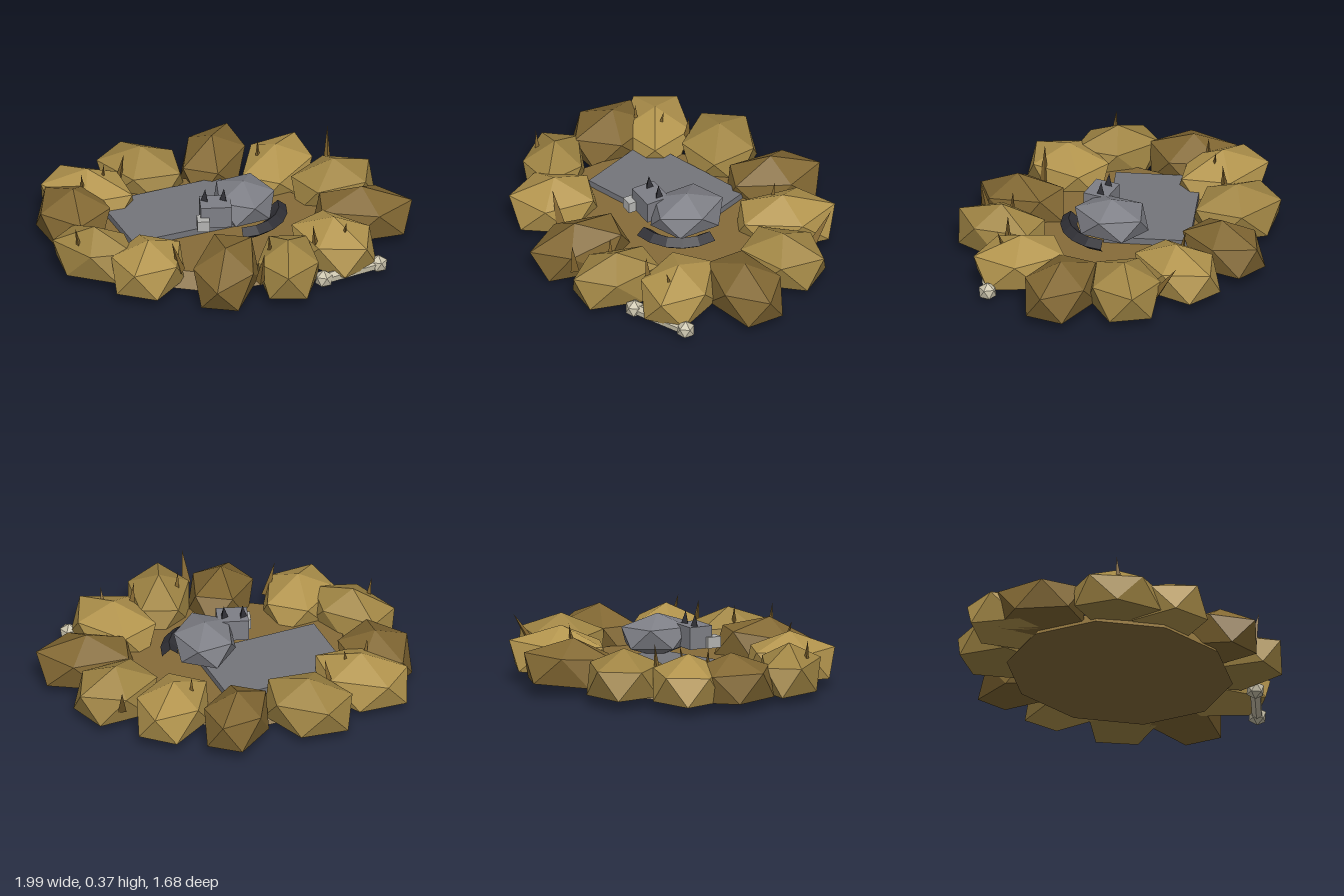
import * as THREE from 'three';

const mat = (color) => new THREE.MeshStandardMaterial({ color, flatShading: true });

const earth = mat(0x866c39);
const rockMats = [mat(0x826833), mat(0xb2944d), mat(0xa08544)];
const slateGrey = mat(0x74757b);
const fur = mat(0x7e7f86);
const darkFur = mat(0x303036);
const paleFur = mat(0xb4b4b2);
const grass = mat(0x846730);
const ivory = mat(0xc9c2ab);

function add(parent, name, geometry, material, x = 0, y = 0, z = 0) {
  const mesh = new THREE.Mesh(geometry, material);
  mesh.name = name;
  mesh.position.set(x, y, z);
  parent.add(mesh);
  return mesh;
}

// Icosahedron standing on a corner
const boulder = () => new THREE.IcosahedronGeometry(1, 0).rotateZ(-Math.atan(0.618));

// The same with its bottom corner pressed flat
function flatBoulder() {
  const geometry = boulder();
  const pos = geometry.attributes.position;
  for (let i = 0; i < pos.count; i++) pos.setY(i, Math.max(pos.getY(i), -0.447));
  geometry.computeVertexNormals();
  return geometry;
}

// Cylinder or cone whose axis runs from a to b
function rod(parent, name, a, b, rBottom, rTop, sides, material) {
  const dir = b.clone().sub(a);
  const geometry = new THREE.CylinderGeometry(rTop, rBottom, dir.length(), sides);
  const mesh = add(parent, name, geometry, material);
  mesh.position.copy(a).add(b).multiplyScalar(0.5);
  mesh.quaternion.setFromUnitVectors(new THREE.Vector3(0, 1, 0), dir.normalize());
  return mesh;
}

export function createModel() {
  const model = new THREE.Group();
  model.name = 'den';

  // Ground disc, narrowing towards its top
  const ground = add(model, 'ground', new THREE.CylinderGeometry(0.9, 1, 0.08, 10), earth, -0.075, 0.07, 0.02);
  ground.scale.set(0.67, 1, 0.585);

  // Flat slab to sleep on
  const slab = add(model, 'slab', new THREE.BoxGeometry(0.69, 0.05, 0.46), slateGrey, -0.25, 0.12, -0.09);
  slab.rotation.y = 0.33;

  // Ring of boulders: x, z, long axis (x, z), long radius, short radius, tilt
  const rocks = [
    [-0.02, -0.61, 0.33, -0.84, 0.29, 0.185, 0.08],
    [0.31, -0.49, 0.4, -0.85, 0.305, 0.205, 0.06],
    [0.6, -0.31, 0.8, -0.55, 0.27, 0.215, 0],
    [0.73, 0, 1, 0, 0.3, 0.2, 0],
    [0.56, 0.31, 0.6, 0.75, 0.29, 0.215, 0],
    [0.3, 0.54, -0.06, 1, 0.285, 0.19, 0],
    [-0.03, 0.57, -0.25, 1, 0.3, 0.19, -0.18],
    [-0.44, 0.49, -0.4, 1, 0.27, 0.215, 0],
    [-0.71, 0.33, 0.75, 0.6, 0.285, 0.185, 0.05],
    [-0.8, -0.08, 0.1, 1, 0.275, 0.22, 0],
    [-0.71, -0.29, 0.85, 0.5, 0.3, 0.22, 0],
    [-0.41, -0.51, 0.8, 0.6, 0.28, 0.225, 0],
  ];
  const ring = new THREE.Group();
  ring.name = 'boulderRing';
  model.add(ring);
  rocks.forEach(([x, z, ax, az, long, short, tilt], i) => {
    const rock = add(ring, 'boulder', flatBoulder(), rockMats[i % 3], x, 0.132, z);
    rock.scale.set(long, 0.168, short);
    rock.rotation.set(0, Math.atan2(-az, ax), tilt, 'YXZ');
  });

  // Grass blades: x, z, lean x, lean z
  const blades = [
    [0.14, 0.7, 0.02, 0.03], [0.21, 0.52, -0.01, 0], [-0.27, 0.55, -0.05, 0.02],
    [-0.79, 0.38, -0.03, 0], [-0.73, -0.19, -0.02, 0], [-0.64, -0.26, 0.02, -0.03],
    [-0.54, -0.38, 0.03, 0], [0.21, -0.46, 0, -0.03], [0.58, -0.49, 0.01, -0.12],
    [0.46, 0.43, -0.02, 0.01], [0.6, 0.36, 0.02, 0.06],
  ];
  for (const [x, z, dx, dz] of blades) {
    rod(model, 'grassBlade', new THREE.Vector3(x, 0.14, z),
      new THREE.Vector3(x + dx, 0.325, z + dz), 0.027, 0, 3, grass);
  }

  // Sleeping animal
  const animal = new THREE.Group();
  animal.name = 'sleepingAnimal';
  model.add(animal);
  const body = add(animal, 'body', boulder(), fur, 0.1, 0.236, -0.01);
  body.scale.set(0.185, 0.118, 0.226);
  add(animal, 'head', new THREE.BoxGeometry(0.165, 0.12, 0.135), fur, -0.057, 0.247, 0.12);
  add(animal, 'muzzle', new THREE.BoxGeometry(0.065, 0.06, 0.08), paleFur, -0.127, 0.218, 0.19);
  for (const x of [-0.11, -0.01]) {
    const ear = add(animal, 'ear', new THREE.ConeGeometry(0.026, 0.075, 3), darkFur, x, 0.338, 0.1);
    ear.rotation.y = -Math.PI / 2;
  }
  const tail = new THREE.TorusGeometry(0.24, 0.045, 4, 5, 1.65).rotateZ(-0.18).rotateX(Math.PI / 2);
  add(animal, 'tail', tail, darkFur, 0.05, 0.175, 0).scale.y = 0.8;

  // Gnawed bone outside the ring
  const bone = new THREE.Group();
  bone.name = 'bone';
  model.add(bone);
  const ends = [new THREE.Vector3(0.49, 0.055, 0.54), new THREE.Vector3(0.79, 0.055, 0.4)];
  rod(bone, 'boneShaft', ends[0], ends[1], 0.03, 0.03, 6, ivory);
  for (const p of ends) {
    add(bone, 'boneKnob', boulder(), ivory, p.x, p.y, p.z).scale.setScalar(0.052);
  }

  return model;
}
